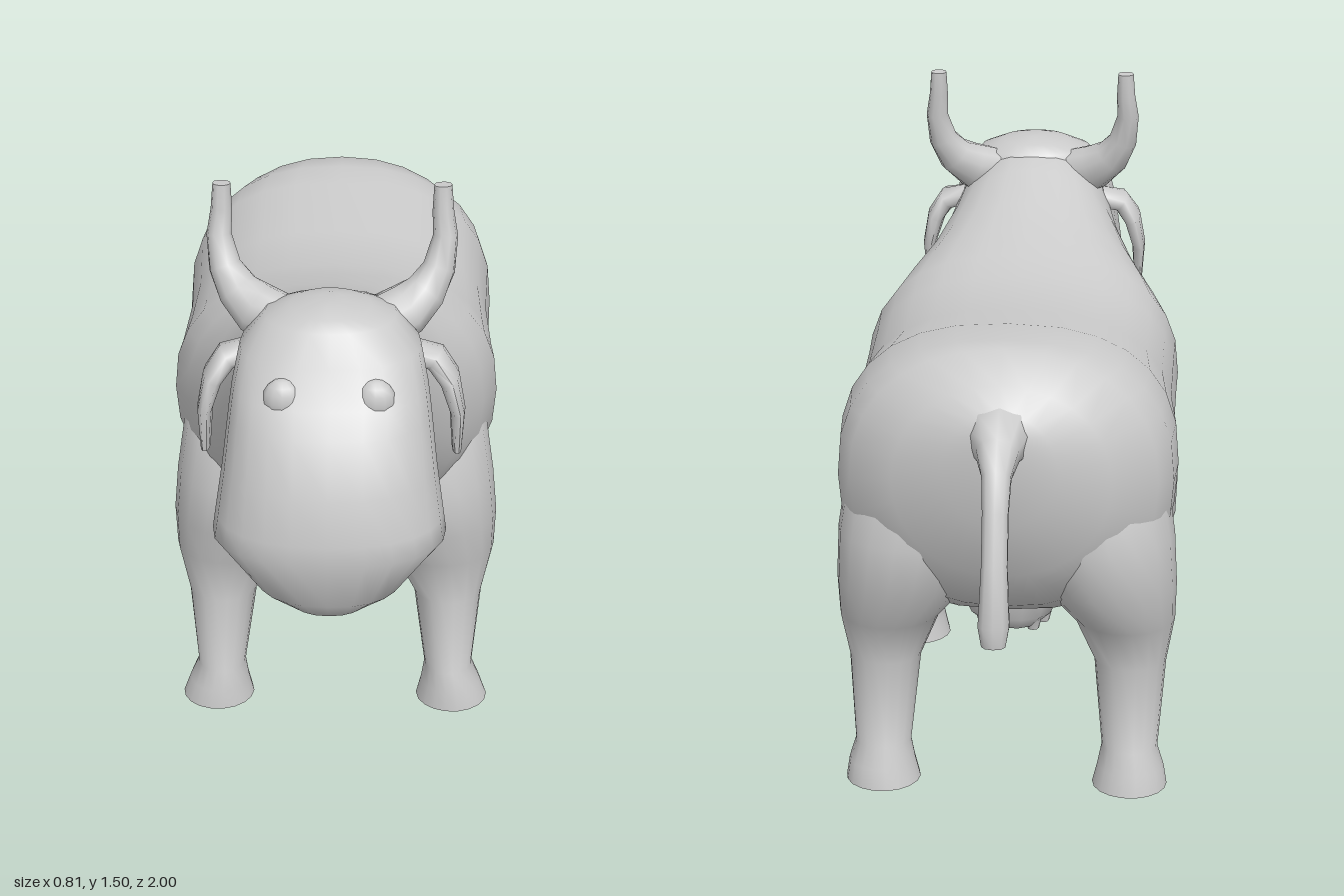
import * as THREE from 'three';
import { toCreasedNormals } from 'three/addons/utils/BufferGeometryUtils.js';

const material = new THREE.MeshStandardMaterial({ color: 0xcccccc });
const V = (x, y, z) => new THREE.Vector3(x, y, z);

// Skins a row of super-ellipse rings { c, u, v, n } and caps both ends.
function loft(rings, seg = 18) {
  const pos = [], idx = [], last = rings.length - 1;
  const travel = rings[last].c.clone().sub(rings[0].c);
  const mid = rings[last >> 1];
  const dir = mid.u.clone().cross(mid.v).dot(travel) > 0 ? 1 : -1;
  for (const { c, u, v, n = 2 } of rings) {
    for (let j = 0; j < seg; j++) {
      const a = (j / seg) * Math.PI * 2 * dir;
      const f = (t) => Math.sign(t) * Math.pow(Math.abs(t), 2 / n);
      const p = c.clone().addScaledVector(u, f(Math.cos(a))).addScaledVector(v, f(Math.sin(a)));
      pos.push(p.x, p.y, p.z);
    }
  }
  for (let i = 0; i < last; i++) {
    for (let j = 0; j < seg; j++) {
      const a = i * seg + j, b = i * seg + ((j + 1) % seg);
      idx.push(a, b, a + seg, b, b + seg, a + seg);
    }
  }
  const s = pos.length / 3;
  pos.push(...rings[0].c.toArray(), ...rings[last].c.toArray());
  for (let j = 0; j < seg; j++) {
    const k = (j + 1) % seg;
    idx.push(s, k, j, s + 1, last * seg + j, last * seg + k);
  }
  const g = new THREE.BufferGeometry();
  g.setAttribute('position', new THREE.Float32BufferAttribute(pos, 3));
  g.setIndex(idx);
  return toCreasedNormals(g, 1.2);
}

// Rings lying flat, stacked upward: [y, x, z, radiusX, radiusZ, exponent]
const stack = (rows, seg) =>
  loft(rows.map(([y, x, z, rx, rz, n]) => ({ c: V(x, y, z), u: V(rx, 0, 0), v: V(0, 0, rz), n })), seg);

// Rings square to a path in the x/y or y/z plane: [x, y, z, thickness, width along side]
function sweep(rows, side, seg) {
  const pts = rows.map((r) => V(r[0], r[1], r[2]));
  return loft(rows.map((r, i) => {
    const t = pts[Math.min(i + 1, pts.length - 1)].clone().sub(pts[Math.max(i - 1, 0)]).normalize();
    const u = t.clone().cross(side).normalize();
    const v = u.clone().cross(t).normalize();
    return { c: pts[i], u: u.multiplyScalar(r[3]), v: v.multiplyScalar(r[4] ?? r[3]), n: 2.3 };
  }), seg);
}

export function createModel() {
  const model = new THREE.Group();
  const add = (name, geometry) => {
    const mesh = new THREE.Mesh(geometry, material);
    mesh.name = name;
    model.add(mesh);
  };
  // Builds a part on the left (+x) and on the right.
  const pair = (name, build) => {
    add('left' + name, build(1));
    add('right' + name, build(-1));
  };

  // Trunk and neck: [z, bottom, top, half width, exponent]
  const trunk = [
    [-0.795, 0.86, 0.985, 0.05, 2], [-0.77, 0.74, 1.015, 0.13, 2], [-0.72, 0.6, 1.06, 0.25, 2.1],
    [-0.64, 0.49, 1.12, 0.355, 2.2], [-0.57, 0.45, 1.12, 0.39, 2.4], [-0.45, 0.45, 1.12, 0.4, 2.5],
    [-0.22, 0.47, 1.08, 0.388, 2.5], [0.02, 0.49, 1.09, 0.393, 2.5], [0.13, 0.5, 1.115, 0.397, 2.4],
    [0.25, 0.52, 1.145, 0.36, 2.3], [0.37, 0.57, 1.185, 0.305, 2.2], [0.5, 0.66, 1.24, 0.248, 2.2],
    [0.6, 0.74, 1.28, 0.22, 2.2], [0.7, 0.8, 1.285, 0.18, 2.1],
  ];
  add('body', loft(trunk.map(([z, b, t, w, n]) =>
    ({ c: V(0, (b + t) / 2, z), u: V(w, 0, 0), v: V(0, (t - b) / 2, 0), n })), 28));

  // Head, from chin to poll
  add('head', stack([
    [0.63, 0, 0.83, 0.06, 0.07, 2.2], [0.645, 0, 0.81, 0.1, 0.13, 2.3], [0.69, 0, 0.82, 0.165, 0.157, 2.4],
    [0.8, 0, 0.815, 0.26, 0.18, 2.3], [0.85, 0, 0.81, 0.253, 0.187, 2.3], [0.95, 0, 0.78, 0.238, 0.19, 2.4],
    [1.07, 0, 0.74, 0.224, 0.188, 2.5], [1.12, 0, 0.72, 0.217, 0.162, 2.6], [1.2, 0, 0.69, 0.2, 0.145, 2.5],
    [1.265, 0, 0.675, 0.145, 0.12, 2.2], [1.285, 0, 0.68, 0.09, 0.09, 2], [1.297, 0, 0.68, 0.03, 0.04, 2],
  ], 24));

  // Shallow eye swellings under the brow
  pair('Eye', (s) => new THREE.SphereGeometry(1, 12, 8).scale(0.045, 0.05, 0.035).translate(s * 0.1, 1.13, 0.838));

  // Horns curve out and then up
  pair('Horn', (s) => sweep([
    [s * 0.09, 1.205, 0.62, 0.06], [s * 0.165, 1.23, 0.585, 0.06], [s * 0.21, 1.265, 0.56, 0.048],
    [s * 0.24, 1.315, 0.54, 0.037], [s * 0.253, 1.385, 0.522, 0.028], [s * 0.247, 1.44, 0.512, 0.024],
    [s * 0.246, 1.5, 0.508, 0.02],
  ], V(0, 0, 1), 10));

  // Flat drooping ears
  pair('Ear', (s) => sweep([
    [s * 0.18, 1.14, 0.61, 0.03, 0.035], [s * 0.235, 1.13, 0.62, 0.028, 0.048], [s * 0.266, 1.085, 0.627, 0.024, 0.068],
    [s * 0.285, 1.01, 0.632, 0.018, 0.064], [s * 0.285, 0.915, 0.642, 0.011, 0.045],
  ], V(0, 0, 1), 10));

  // Legs, from hoof up into the trunk
  pair('FrontLeg', (s) => stack([
    [0, s * 0.298, 0.26, 0.09, 0.09], [0.05, s * 0.295, 0.262, 0.075, 0.083], [0.1, s * 0.288, 0.26, 0.06, 0.074],
    [0.28, s * 0.285, 0.2, 0.085, 0.086], [0.4, s * 0.267, 0.183, 0.132, 0.122], [0.5, s * 0.235, 0.185, 0.168, 0.16],
    [0.62, s * 0.212, 0.195, 0.18, 0.165], [0.75, s * 0.19, 0.185, 0.183, 0.145], [0.9, s * 0.155, 0.17, 0.175, 0.11],
  ]));
  pair('BackLeg', (s) => stack([
    [0, s * 0.298, -0.565, 0.09, 0.086], [0.05, s * 0.3, -0.565, 0.08, 0.075], [0.1, s * 0.297, -0.56, 0.067, 0.064],
    [0.3, s * 0.295, -0.505, 0.086, 0.07], [0.42, s * 0.28, -0.52, 0.12, 0.115], [0.52, s * 0.24, -0.54, 0.162, 0.147],
    [0.65, s * 0.215, -0.545, 0.18, 0.165], [0.78, s * 0.185, -0.53, 0.19, 0.155], [0.9, s * 0.155, -0.51, 0.185, 0.13],
  ]));

  // Tail, flaring where it leaves the rump
  add('tail', sweep([
    [0, 0.95, -0.68, 0.09], [0, 0.948, -0.76, 0.075], [0, 0.935, -0.815, 0.05], [0, 0.9, -0.863, 0.034],
    [0, 0.83, -0.9, 0.03], [0, 0.72, -0.935, 0.03], [0, 0.59, -0.965, 0.036], [0, 0.545, -0.968, 0.028],
  ], V(1, 0, 0), 10));

  // Udder and its teats
  add('udder', stack([
    [0.33, 0, -0.345, 0.07, 0.075, 2.4], [0.36, 0, -0.34, 0.105, 0.1, 2.4], [0.42, 0, -0.335, 0.135, 0.115, 2.3],
    [0.52, 0, -0.34, 0.14, 0.14, 2],
  ], 14));
  for (const [label, x, z, y] of [['Front', 0.075, -0.29, 0.295], ['Back', 0.055, -0.39, 0.32]]) {
    pair(label + 'Teat', (s) => stack([
      [y, s * x, z, 0.014, 0.014], [y + 0.025, s * x, z, 0.02, 0.02], [0.37, s * x * 0.9, z, 0.035, 0.035],
    ], 8));
  }
  return model;
}
